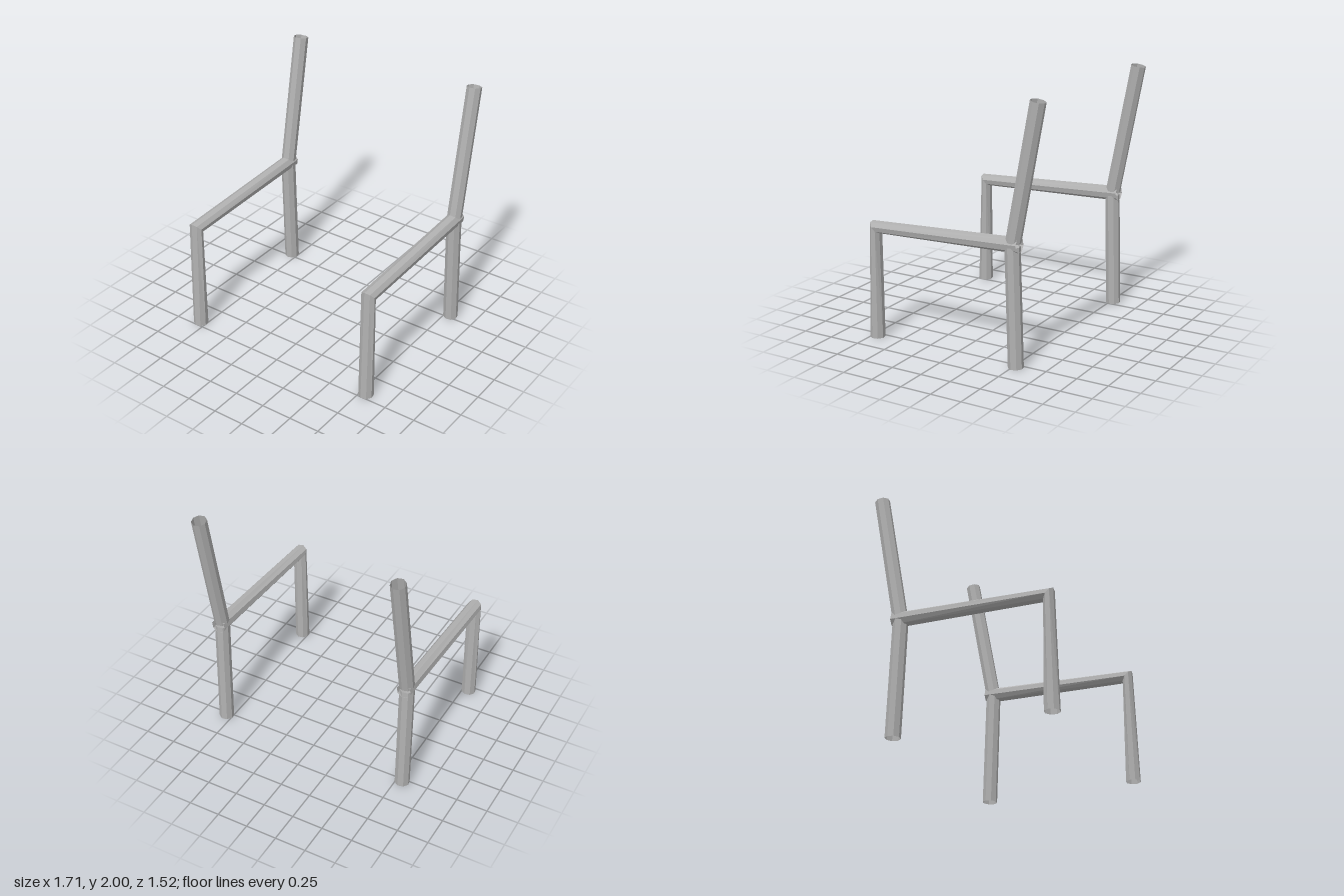
import * as THREE from 'three';

const SIDES = 8, RADIUS = 0.0585, TWIST = -0.2;

// Open octagonal tube through rings given as [z, y, tangent z, tangent y]
function tube(name, rings, material) {
  const pos = [], index = [];
  for (const [z, y, tz, ty] of rings) {
    const t = new THREE.Vector3(0, ty, tz).normalize();
    const across = new THREE.Vector3(1, 0, 0);
    const u = t.clone().cross(across);
    for (let j = 0; j < SIDES; j++) {
      const a = TWIST + (j / SIDES) * Math.PI * 2 + Math.PI / 2;
      const p = new THREE.Vector3(0, y, z)
        .addScaledVector(across, RADIUS * Math.cos(a))
        .addScaledVector(u, RADIUS * Math.sin(a));
      pos.push(p.x, p.y, p.z);
    }
  }
  for (let i = 0; i < rings.length - 1; i++) {
    for (let j = 0; j < SIDES; j++) {
      const k = (j + 1) % SIDES;
      const a = i * SIDES + j, b = i * SIDES + k;
      const c = a + SIDES, d = b + SIDES;
      index.push(a, b, c, b, d, c);
    }
  }
  const geo = new THREE.BufferGeometry();
  geo.setAttribute('position', new THREE.Float32BufferAttribute(pos, 3));
  geo.setIndex(index);
  geo.computeVertexNormals();
  const mesh = new THREE.Mesh(geo, material);
  mesh.name = name;
  return mesh;
}

export function createModel() {
  const model = new THREE.Group();
  model.name = 'chairFrame';
  const metal = new THREE.MeshStandardMaterial({
    color: 0xb0b0b0, flatShading: true, side: THREE.DoubleSide,
  });
  metal.name = 'grey metal';

  for (const [name, x] of [['leftFrame', 0.8], ['rightFrame', -0.8]]) {
    const frame = new THREE.Group();
    frame.name = name;
    frame.position.x = x;
    // Front leg bending into the seat rail, thinned at the bend
    frame.add(tube('frontLegAndSeatRail', [
      [0.702, 0, 0, 1],
      [0.69, 0.884, -0.76, 0.65],
      [-0.555, 0.935, -1, 0.04],
    ], metal));
    // Rear leg, splayed slightly backwards
    frame.add(tube('rearLeg', [
      [-0.527, 0.002, 0.03, 1],
      [-0.499, 0.92, 0.03, 1],
    ], metal));
    // Reclined back post
    frame.add(tube('backPost', [
      [-0.505, 0.955, -0.19, 1],
      [-0.7, 1.989, -0.19, 1],
    ], metal));
    model.add(frame);
  }
  return model;
}
